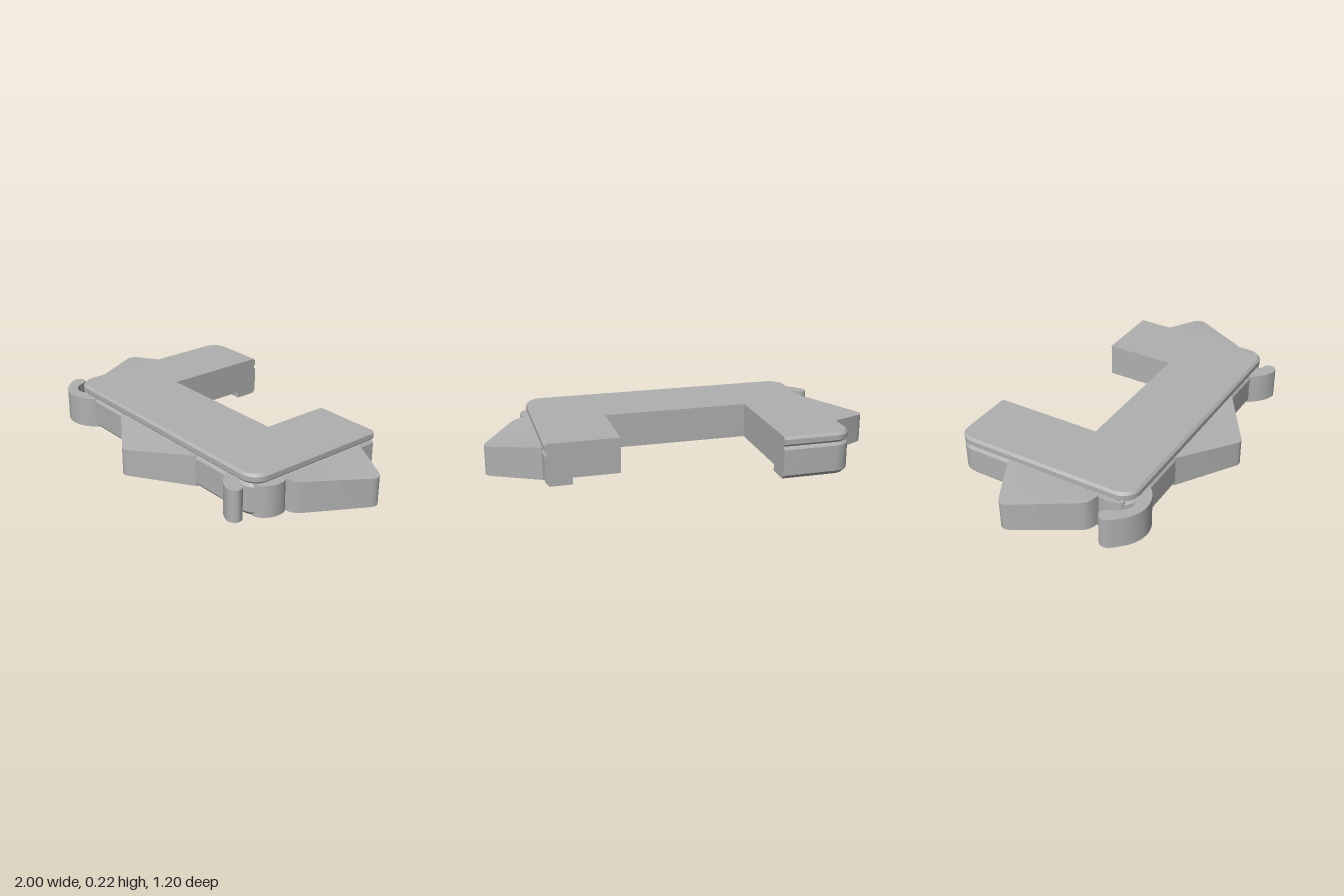
import * as THREE from 'three';
import { toCreasedNormals } from 'three/addons/utils/BufferGeometryUtils.js';

const grey = new THREE.MeshStandardMaterial({ color: 0xb0b0b0 });
grey.name = 'grey';

// Outer edge of the U, inset by d: back of long arm, left side, front, right side
function outerEdge(d) {
  const x0 = -0.74 + d, x1 = 0.74 - d, z0 = -0.6 + d, z1 = 0.395 - d;
  const r = Math.max(0.09 - d, 0.05), steps = 8;
  const pts = [[-0.38, z0]];
  const corners = [[x0 + r, z0 + r, -0.5], [x0 + r, z1 - r, -1], [x1 - r, z1 - r, -1.5]];
  for (const [cx, cz, start] of corners) {
    for (let i = 0; i <= steps; i++) {
      const a = Math.PI * (start - 0.5 * i / steps);
      pts.push([cx + r * Math.cos(a), cz + r * Math.sin(a)]);
    }
  }
  pts.push([x1, -0.39]);
  return pts;
}

// Straight inner edge of the U
const innerEdge = [[0.375, -0.39], [0.375, -0.02], [-0.38, -0.02]];

function geometryFrom(positions) {
  const g = new THREE.BufferGeometry();
  g.setAttribute('position', new THREE.Float32BufferAttribute(positions, 3));
  return toCreasedNormals(g, 0.5);
}

// Joins successive rings with quads
function skin(out, rings, closed) {
  for (let k = 0; k + 1 < rings.length; k++) {
    const a = rings[k], b = rings[k + 1], n = a.length;
    for (let i = 0; i < (closed ? n : n - 1); i++) {
      const j = (i + 1) % n;
      out.push(...a[i], ...a[j], ...b[j], ...a[i], ...b[j], ...b[i]);
    }
  }
}

// Flat cap facing up (dir 1) or down (dir -1)
function cap(out, ring, dir) {
  const flat = ring.map(p => new THREE.Vector2(p[0], p[2]));
  for (const t of THREE.ShapeUtils.triangulateShape(flat, [])) {
    const [a, b, c] = t.map(i => ring[i]);
    const ny = (b[2] - a[2]) * (c[0] - a[0]) - (b[0] - a[0]) * (c[2] - a[2]);
    out.push(...a, ...(ny * dir > 0 ? b : c), ...(ny * dir > 0 ? c : b));
  }
}

const lift = (pts, y) => pts.map(([x, z]) => [x, y, z]);

// U body with a V groove below the lid and a chamfered top edge
function bodyGeometry() {
  const profile = [[0, 0.035], [0, 0.15], [0.012, 0.165], [0, 0.177], [0, 0.202], [0.012, 0.215]];
  const rings = profile.map(([d, y]) => lift([...outerEdge(d), ...innerEdge], y));
  const out = [];
  skin(out, rings, true);
  cap(out, rings[0], -1);
  cap(out, rings[rings.length - 1], 1);
  return geometryFrom(out);
}

// Foot rim around the outside, leaving the underside recessed
function rimGeometry() {
  const profile = [[0.13, 0.035], [0.13, 0], [0.018, 0], [0, 0.02], [0, 0.035]];
  const rings = profile.map(([d, y]) => lift(outerEdge(d), y));
  const out = [];
  skin(out, rings, false);
  const last = rings[0].length - 1;
  for (let k = 1; k + 1 < rings.length; k++) {
    out.push(...rings[0][0], ...rings[k][0], ...rings[k + 1][0]);
    out.push(...rings[0][last], ...rings[k + 1][last], ...rings[k][last]);
  }
  return geometryFrom(out);
}

// Polygon in x, z with rounded corners; each point is [x, z, radius]
function roundedShape(pts) {
  const s = new THREE.Shape();
  const v = pts.map(p => new THREE.Vector2(p[0], -p[1]));
  v.forEach((p, i) => {
    const r = pts[i][2] || 0;
    const toward = q => p.clone().add(q.clone().sub(p).setLength(r));
    const a = r ? toward(v[(i + v.length - 1) % v.length]) : p;
    if (i) s.lineTo(a.x, a.y); else s.moveTo(a.x, a.y);
    if (r) {
      const b = toward(v[(i + 1) % v.length]);
      s.quadraticCurveTo(p.x, p.y, b.x, b.y);
    }
  });
  return s;
}

// Smooth closed outline through points in x, z
function smoothShape(pts) {
  const curve = new THREE.CatmullRomCurve3(pts.map(([x, z]) => new THREE.Vector3(x, -z, 0)), true);
  return new THREE.Shape(curve.getPoints(48).slice(0, -1).map(p => new THREE.Vector2(p.x, p.y)));
}

// Upright slab whose top height follows a rule of x and z
function slab(shape, top) {
  const g = new THREE.ExtrudeGeometry(shape, { depth: 1, bevelEnabled: false, curveSegments: 8 });
  g.rotateX(-Math.PI / 2);
  const p = g.attributes.position;
  for (let i = 0; i < p.count; i++) {
    p.setY(i, p.getY(i) > 0.5 ? top(p.getX(i), p.getZ(i)) : 0);
  }
  return toCreasedNormals(g, 0.5);
}

export function createModel() {
  const model = new THREE.Group();
  model.name = 'bracketPlate';
  const add = (name, geometry) => {
    const m = new THREE.Mesh(geometry, grey);
    m.name = name;
    model.add(m);
  };

  add('body', bodyGeometry());
  add('footRim', rimGeometry());

  // Pointed wings on both sides, sloping down outward
  for (const s of [1, -1]) {
    const pts = [[0.69, -0.265], [0.74, -0.292], [1.018, -0.15, 0.055], [0.812, 0.208, 0.04], [0.74, 0.225], [0.69, 0.225]];
    const shape = roundedShape(pts.map(([x, z, r]) => [s * x, z, r]));
    add(s > 0 ? 'leftWing' : 'rightWing',
      slab(shape, x => Math.min(0.165, 0.165 - (Math.abs(x) - 0.78) * 0.07)));
  }

  // Pointed front prow
  add('frontProw', slab(
    roundedShape([[-0.32, 0.34], [-0.32, 0.392], [0, 0.602, 0.025], [0.32, 0.392], [0.32, 0.34]]),
    (x, z) => Math.min(0.165, 0.165 - (z - 0.39) * 0.12)));

  // Curled hooks and rounded bumps at the front corners
  const level = () => 0.164;
  add('rightHook', slab(smoothShape([
    [-0.55, 0.36], [-0.58, 0.41], [-0.64, 0.447], [-0.71, 0.457], [-0.78, 0.435], [-0.84, 0.385],
    [-0.875, 0.335], [-0.865, 0.298], [-0.835, 0.29], [-0.807, 0.315], [-0.785, 0.36],
    [-0.74, 0.395], [-0.69, 0.39], [-0.64, 0.36]]), level));
  add('leftHook', slab(smoothShape([
    [0.51, 0.35], [0.55, 0.405], [0.59, 0.45], [0.64, 0.48], [0.68, 0.487],
    [0.708, 0.463], [0.7, 0.425], [0.66, 0.408], [0.63, 0.38], [0.6, 0.35]]), level));
  add('leftBump', slab(smoothShape([
    [0.68, 0.22], [0.73, 0.205], [0.765, 0.225], [0.777, 0.27], [0.766, 0.32],
    [0.735, 0.358], [0.69, 0.365], [0.66, 0.3]]), level));
  add('rightBump', slab(smoothShape([
    [-0.68, 0.22], [-0.735, 0.21], [-0.754, 0.26], [-0.75, 0.31], [-0.73, 0.35], [-0.68, 0.34]]), level));

  return model;
}
